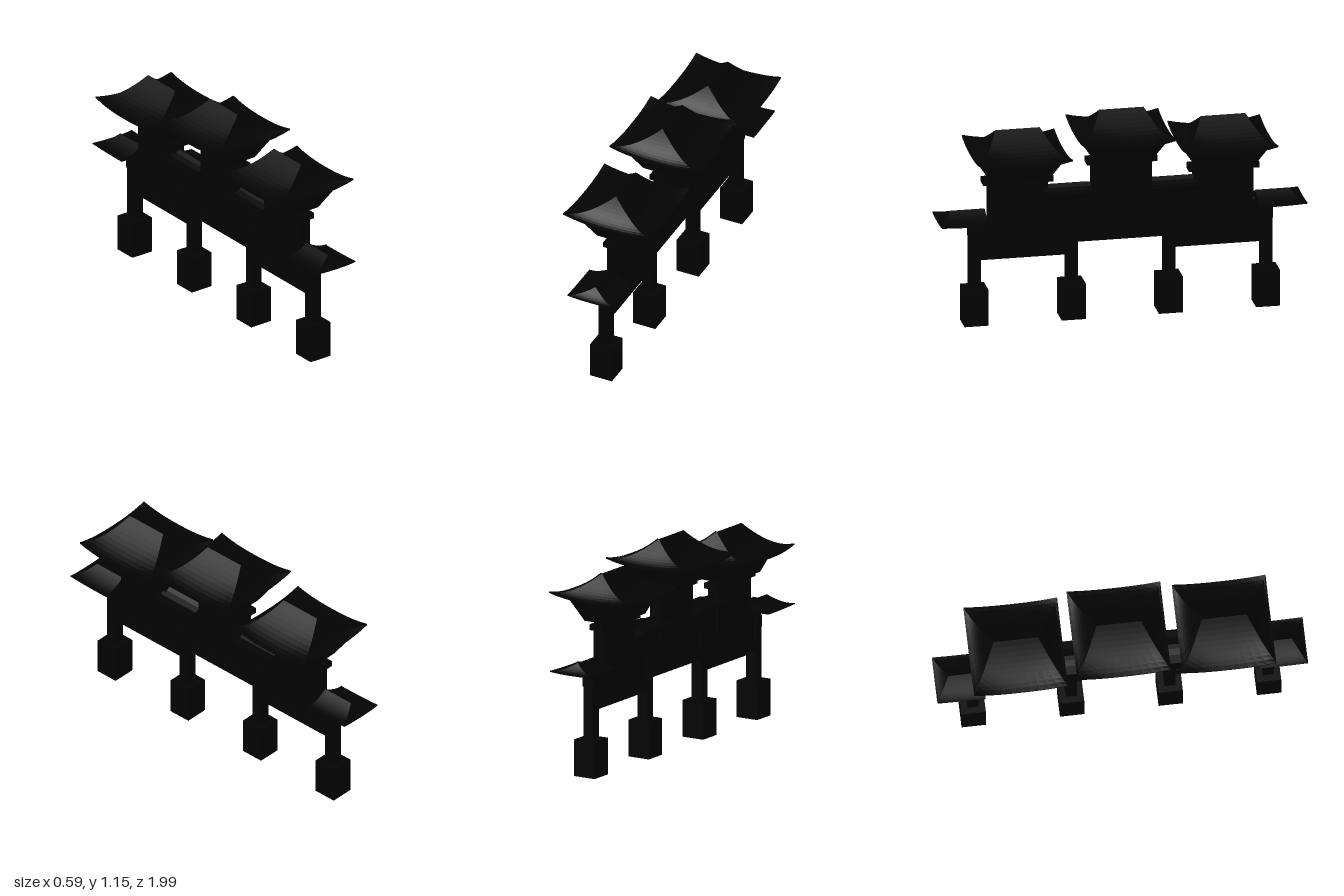
import * as THREE from 'three';

const black = new THREE.MeshStandardMaterial({ color: 0x030303 });
black.name = 'black';

// Skin between closed rings of points, listed from top to bottom
function loft(rings) {
  const pos = [];
  const put = (...pts) => pts.forEach(p => pos.push(p[0], p[1], p[2]));
  for (let r = 0; r < rings.length - 1; r++) {
    const a = rings[r], b = rings[r + 1], n = a.length;
    for (let i = 0; i < n; i++) {
      const j = (i + 1) % n;
      put(a[i], b[i], b[j]);
      put(a[i], b[j], a[j]);
    }
  }
  const g = new THREE.BufferGeometry();
  g.setAttribute('position', new THREE.Float32BufferAttribute(pos, 3));
  g.computeVertexNormals();
  return g;
}

// Rectangular ring with raised corners; minZ cuts the ring off flat
function ring(hx, hz, y, lift = 0, minZ = -Infinity) {
  const corners = [[1, 1], [1, -1], [-1, -1], [-1, 1]], n = 10, pts = [];
  for (let c = 0; c < 4; c++) {
    const p = corners[c], q = corners[(c + 1) % 4];
    for (let i = 0; i < n; i++) {
      const u = p[0] + (q[0] - p[0]) * i / n, v = p[1] + (q[1] - p[1]) * i / n;
      pts.push([u * hx, y + lift * Math.abs(u * v) ** 2.5, Math.max(v * hz, minZ)]);
    }
  }
  return pts;
}

// Concave hipped roof with a thin edge and a closed underside
function hipRoof({ hx, hz, ridge, y, height, lift, edge, minZ }) {
  const rings = [], steps = 10;
  for (let i = 0; i <= steps; i++) {
    const t = i / steps;
    rings.push(ring(hx * t, ridge + (hz - ridge) * t, y + height * (1 - t) ** 1.7, lift * t ** 3, minZ));
  }
  rings.push(ring(hx, hz, y - edge, lift, minZ));
  rings.push(ring(hx * 0.75, hz * 0.85, y - edge, lift * 0.3, minZ));
  rings.push(ring(hx * 0.5, hz * 0.7, y - edge, 0, minZ));
  rings.push(ring(0, 0, y - edge, 0, minZ));
  return loft(rings);
}

export function createModel() {
  const gate = new THREE.Group();
  gate.name = 'gateway';

  function add(name, geometry, x = 0, y = 0, z = 0) {
    const m = new THREE.Mesh(geometry, black);
    m.name = name;
    m.position.set(x, y, z);
    gate.add(m);
    return m;
  }
  // Box given by width, bottom, top and its z range
  const box = (name, w, y0, y1, z0, z1) =>
    add(name, new THREE.BoxGeometry(w, y1 - y0, z1 - z0), 0, (y0 + y1) / 2, (z0 + z1) / 2);

  // Four columns on square bases
  for (const z of [-0.788, -0.263, 0.263, 0.788]) {
    box('columnBase', 0.13, 0, 0.2, z - 0.065, z + 0.065);
    box('column', 0.06, 0.2, 0.55, z - 0.03, z + 0.03);
    box('columnHead', 0.066, 0.487, 0.552, z - 0.033, z + 0.033);
  }

  // Middle wall
  box('middleWall', 0.046, 0.425, 0.62, -0.41, 0.41);
  box('middleBeam', 0.056, 0.425, 0.49, -0.24, 0.24);

  // Roof cross-section for the links between the towers
  const linkShape = new THREE.Shape([
    [0.03, 0.67], [0.095, 0.717], [0.05, 0.722], [0.02, 0.735], [0, 0.75],
    [-0.02, 0.735], [-0.05, 0.722], [-0.095, 0.717], [-0.03, 0.67],
  ].map(p => new THREE.Vector2(...p)));

  for (const s of [-1, 1]) {
    const span = (name, w, y0, y1, a, b) =>
      box(name, w, y0, y1, Math.min(s * a, s * b), Math.max(s * a, s * b));

    // Side wall with beams
    span('sideWall', 0.044, 0.358, 0.55, 0.28, 0.77);
    span('lowerBeam', 0.054, 0.358, 0.42, 0.28, 0.77);
    span('upperBeam', 0.054, 0.49, 0.55, 0.28, 0.77);

    // Link between side tower and middle tower
    span('linkWall', 0.046, 0.6, 0.69, 0.15, 0.42);
    const link = new THREE.ExtrudeGeometry(linkShape, { depth: 0.25, bevelEnabled: false });
    add('linkRoof', link, 0, 0, s > 0 ? 0.16 : -0.41);

    // Small roof at the outer end
    const end = hipRoof({ hx: 0.13, hz: 0.257, ridge: 0.185, y: 0.587, height: 0.052, lift: 0.006, edge: 0.005, minZ: 0 });
    add('endRoof', end, 0, 0, s * 0.732).rotation.y = s > 0 ? 0 : Math.PI;
    span('endRoofSupport', 0.05, 0.54, 0.587, 0.7, 0.82);
  }

  // Three towers: body, cap, flared bracket and main roof
  const towers = [
    { z: -0.556, body: 0.55, top: 0.815 },
    { z: -0.006, body: 0.6, top: 0.89 },
    { z: 0.556, body: 0.55, top: 0.815 },
  ];
  for (const { z, body, top } of towers) {
    box('towerBody', 0.055, body, top, z - 0.16, z + 0.16);
    for (const s of [-1, 1]) box('towerPost', 0.062, body, top - 0.035, z + s * 0.148 - 0.013, z + s * 0.148 + 0.013);
    box('towerCap', 0.076, top - 0.037, top - 0.006, z - 0.19, z + 0.19);
    add('roofBracket', loft([
      ring(0, 0, top + 0.127), ring(0.13, 0.243, top + 0.127),
      ring(0.09, 0.157, top), ring(0, 0, top),
    ]), 0, 0, z);
    add('mainRoof', hipRoof({
      hx: 0.25, hz: 0.25, ridge: 0.12, y: top + 0.13, height: 0.132, lift: 0.027, edge: 0.008,
    }), 0.004, 0, z);
  }

  // The whole gate stands slightly turned
  gate.rotation.y = 0.057;
  gate.position.set(-0.009, 0, 0.007);
  const model = new THREE.Group();
  model.name = 'model';
  model.add(gate);
  return model;
}
